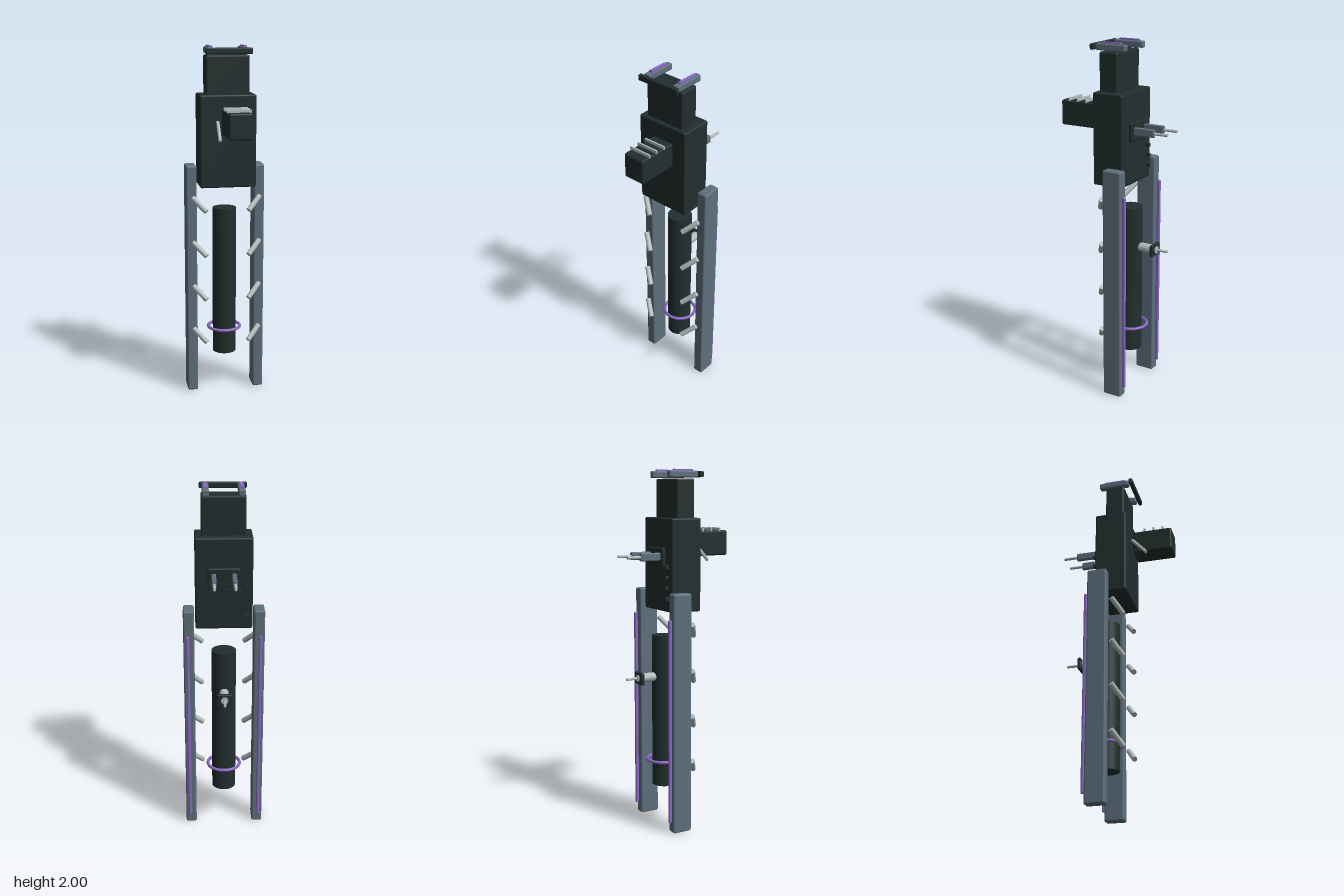
import * as THREE from 'three';
import { RoundedBoxGeometry } from 'three/addons/geometries/RoundedBoxGeometry.js';

const mat = (name, color) => {
  const m = new THREE.MeshStandardMaterial({ color });
  m.name = name;
  return m;
};

export function createModel() {
  const dark = mat('dark casing', 0x222e2e);
  const blue = mat('slate metal', 0x5d6f7c);
  const light = mat('pale metal', 0xb0bcbc);
  const purple = mat('purple accent', 0x8a68c4);
  const model = new THREE.Group();

  const add = (name, geometry, material, x, y, z) => {
    const mesh = new THREE.Mesh(geometry, material);
    mesh.name = name;
    mesh.position.set(x, y, z);
    model.add(mesh);
    return mesh;
  };
  // Rounded box given by its ranges on each axis
  const box = (name, material, [x0, x1], [y0, y1], [z0, z1], r = 0.008) =>
    add(name, new RoundedBoxGeometry(x1 - x0, y1 - y0, z1 - z0, 2, r), material,
      (x0 + x1) / 2, (y0 + y1) / 2, (z0 + z1) / 2);
  // Cylinder running between two points
  const rod = (name, material, a, b, r, sides = 12) => {
    const p = new THREE.Vector3(...a), q = new THREE.Vector3(...b);
    const d = q.clone().sub(p);
    const c = p.clone().add(q).multiplyScalar(0.5);
    const mesh = add(name, new THREE.CylinderGeometry(r, r, d.length(), sides), material, c.x, c.y, c.z);
    mesh.quaternion.setFromUnitVectors(new THREE.Vector3(0, 1, 0), d.normalize());
    return mesh;
  };

  // Main housing and upper block
  box('body', dark, [-0.156, 0.156], [1.23, 1.74], [-0.107, 0.075], 0.01);
  box('neck', dark, [-0.12, 0.12], [1.73, 1.95], [-0.055, 0.055], 0.01);

  // Front box with three ribs and a slanted lever
  box('frontBox', dark, [-0.039, 0.088], [1.525, 1.665], [0.09, 0.32], 0.01);
  for (const z of [0.16, 0.214, 0.268])
    box('frontBoxRib', light, [-0.041, 0.091], [1.66, 1.681], [z - 0.005, z + 0.005], 0.003);
  rod('lever', light, [-0.062, 1.597, 0.091], [-0.062, 1.503, 0.175], 0.0095);

  // Top frame
  box('topCrossbar', dark, [-0.128, 0.128], [1.957, 1.99], [0.087, 0.109], 0.006);

  // Rear plate and vents
  box('rearPlate', dark, [-0.087, 0.087], [1.475, 1.58], [-0.129, -0.107]);
  for (let i = 0; i < 4; i++) {
    const y = 1.304 + i * 0.058;
    box('vent', dark, [-0.124, -0.11], [y - 0.01, y + 0.01], [-0.129, -0.104], 0.002);
  }

  for (const s of [-1, 1]) {
    const around = (x, half) => [s * x - half, s * x + half];
    // Top rails with inset strips
    box('topRail', blue, around(0.095, 0.018), [1.955, 1.992], [-0.096, 0.082]);
    add('topRailStrip', new THREE.BoxGeometry(0.017, 0.009, 0.118), purple, s * 0.095, 1.9955, -0.007);
    // Rear twin prongs
    box('prongBase', blue, around(0.055, 0.0125), [1.51, 1.553], [-0.247, -0.125], 0.006);
    rod('prongTip', light, [s * 0.055, 1.531, -0.24], [s * 0.055, 1.531, -0.325], 0.008);
    // Long side columns with a bead strip behind
    box('sideColumn', blue, around(0.193, 0.03), [0, 1.34], [-0.133, -0.021], 0.01);
    box('columnStrip', purple, around(0.199, 0.009), [0.06, 1.2], [-0.154, -0.135], 0.006);
    // Slanted struts
    for (let i = 0; i < 4; i++) {
      const y = 0.358 + i * 0.257;
      rod('strut', light, [s * 0.191, y + 0.036, 0.001], [s * 0.12, y - 0.036, 0.051], 0.015);
    }
  }

  // Central cylinder and its ring
  rod('centralCylinder', dark, [0, 0.225, -0.071], [0, 1.09, -0.071], 0.068, 24);
  const ring = add('cylinderRing', new THREE.TorusGeometry(0.092, 0.009, 10, 40), purple, 0, 0.373, -0.077);
  ring.rotation.x = Math.PI / 2;

  // Rear nozzle on the cylinder
  rod('nozzle', light, [0, 0.857, -0.13], [0, 0.857, -0.22], 0.025, 16);
  box('nozzlePlate', dark, [-0.043, 0.043], [0.823, 0.89], [-0.237, -0.217], 0.006);
  rod('nozzleCollar', light, [0, 0.857, -0.23], [0, 0.857, -0.243], 0.02, 16);
  rod('nozzleTip', light, [0, 0.857, -0.24], [0, 0.857, -0.308], 0.0075);

  return model;
}
